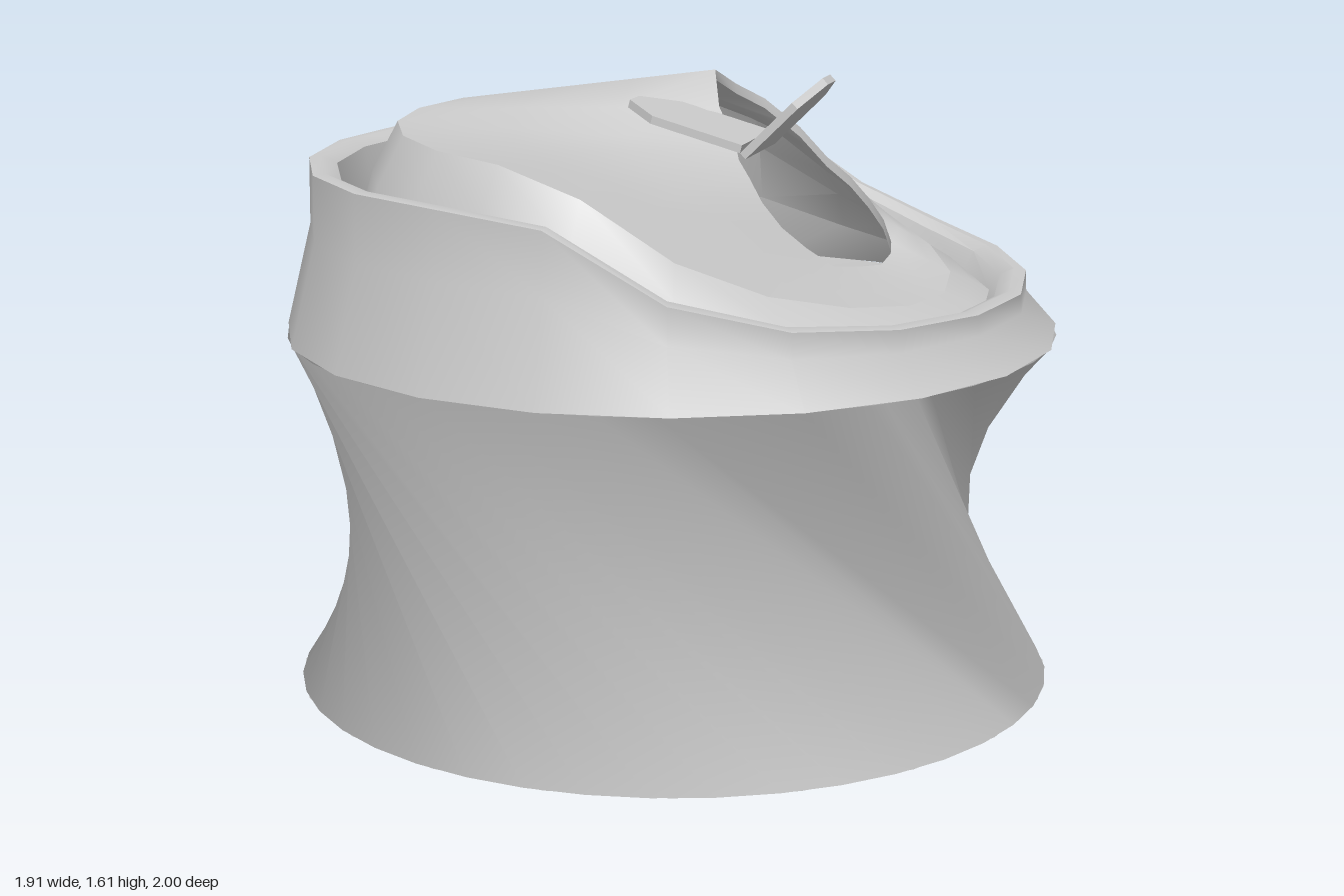
import * as THREE from 'three';
import { toCreasedNormals } from 'three/addons/utils/BufferGeometryUtils.js';

const TAU = Math.PI * 2;
const { degToRad, radToDeg } = THREE.MathUtils;

// Piecewise-linear lookup through [position, value] pairs
function ramp(points, x) {
  if (x <= points[0][0]) return points[0][1];
  for (let i = 1; i < points.length; i++) {
    const [x0, y0] = points[i - 1], [x1, y1] = points[i];
    if (x <= x1) return y0 + (y1 - y0) * (x - x0) / (x1 - x0);
  }
  return points[points.length - 1][1];
}

// Heights of the crushed rim and lid edge, both sagging toward +x
const rimHeight = x => ramp([[-0.02, 1.42], [0.2, 1.27], [0.4, 1.195], [0.6, 1.16], [0.88, 1.14]], x);
const lidHeight = x => ramp([[-0.65, 1.51], [-0.15, 1.49], [0, 1.45], [0.2, 1.31], [0.45, 1.2], [0.7, 1.13]], x);

// Ring of points: radius may be a number or a function of the index, height a function of x, z, index
function ring(cx, cz, radius, height, n = 20, turn = a => a) {
  return Array.from({ length: n }, (_, i) => {
    const a = turn(i / n * TAU);
    const r = typeof radius === 'function' ? radius(i) : radius;
    const x = cx + r * Math.sin(a), z = cz + r * Math.cos(a);
    return new THREE.Vector3(x, height(x, z, i), z);
  });
}

// Skin joining successive rings, listed from below outward and up
function loft(rings) {
  const pos = [], index = [], n = rings[0].length;
  rings.forEach(r => r.forEach(p => pos.push(p.x, p.y, p.z)));
  for (let j = 0; j < rings.length - 1; j++) {
    for (let i = 0; i < n; i++) {
      const k = (i + 1) % n;
      const a = j * n + i, b = j * n + k, c = b + n, d = a + n;
      index.push(a, b, d, b, c, d);
    }
  }
  const g = new THREE.BufferGeometry();
  g.setAttribute('position', new THREE.Float32BufferAttribute(pos, 3));
  g.setIndex(index);
  g.computeVertexNormals();
  return g;
}

export function createModel() {
  const group = new THREE.Group();
  const material = new THREE.MeshStandardMaterial({ color: 0xcccccc, side: THREE.DoubleSide });
  const add = (name, geometry) => {
    const mesh = new THREE.Mesh(geometry, material);
    mesh.name = name;
    group.add(mesh);
    return mesh;
  };

  // Wrung wall: each angle on the bottom ring leads to a lagging angle on the shoulder
  const wring = [[60, 0], [80, 18], [90, 44], [132, 56], [175, 97], [190, 120], [290, 222], [343, 285], [420, 360]];
  add('twistedWall', loft([
    ring(-0.01, -0.055, 0.945, () => 0.1, 40, a => a + degToRad(60)),
    ring(0.02, 0.055, 0.935, () => 1.01, 40, a => degToRad(ramp(wring, radToDeg(a) + 60))),
  ]));

  // Shoulder and neck up to the rim
  const neckHeight = x => 1.02 + (rimHeight(x) - 1.02) * 0.6;
  const rimOuter = ring(0.015, 0.06, 0.87, rimHeight);
  add('shoulder', loft([
    ring(0.02, 0.055, 0.94, () => 1.01),
    ring(0.015, 0.06, 0.872, neckHeight),
    rimOuter,
  ]));

  // Tilted foot ring around a shallow recess
  const footHeight = (x, z) => ramp([[-0.9, 0.025], [-0.75, 0.003], [-0.25, 0.01], [0, 0.032], [0.4, 0.058], [0.8, 0.065]], z);
  add('base', toCreasedNormals(loft([
    ring(0, -0.055, 0, () => 0.06),
    ring(0, -0.055, 0.66, (x, z) => footHeight(x, z) + 0.025),
    ring(0, -0.055, 0.84, footHeight),
    ring(-0.01, -0.055, 0.945, () => 0.1),
  ]), 0.4));

  // Rim lip, narrow groove and sloping skirt up to the lid edge
  const groove = x => 1.09 + (rimHeight(x) - 1.14) * 0.4;
  const skirt = x => groove(x) + (lidHeight(x) - groove(x)) * 0.6;
  const lidEdge = ring(0.03, 0.055, 0.67, lidHeight);
  add('rim', toCreasedNormals(loft([
    rimOuter,
    ring(0.015, 0.06, 0.84, x => rimHeight(x) + 0.003),
    ring(0.015, 0.055, 0.805, x => rimHeight(x) - 0.015),
    ring(0.02, 0.055, 0.775, groove),
    ring(0.025, 0.055, 0.73, skirt),
    lidEdge,
  ]), 0.6));

  // Lid pulled straight from its edge to the torn mouth, peaking behind the tab
  const radii = [0.19, 0.22, 0.23, 0.22, 0.21, 0.22, 0.29, 0.27, 0.17, 0.17];
  const heights = [1.25, 1.16, 1.15, 1.18, 1.27, 1.36, 1.5, 1.59, 1.43, 1.36];
  const between = (list, i) => (list[Math.floor(i / 2)] + list[Math.ceil(i / 2) % 10]) / 2;
  const mouth = ring(0.28, -0.2, i => between(radii, i), (x, z, i) => between(heights, i));
  add('lid', loft([0, 0.33, 0.67, 1].map(t => lidEdge.map((p, i) => p.clone().lerp(mouth[i], t)))));

  // Thin folded edge around the mouth
  add('mouthEdge', loft([
    mouth,
    mouth.map(p => new THREE.Vector3(p.x, p.y - 0.025, p.z)),
  ]));

  // Pull tab bent into two pointed plates meeting at the fold
  const tab = new THREE.Group();
  tab.name = 'pullTab';
  group.add(tab);
  const plate = (name, length, angle) => {
    const w = 0.125;
    const shape = new THREE.Shape([
      [0, -w], [length * 0.72, -w], [length, -0.035], [length, 0.035], [length * 0.72, w], [0, w],
    ].map(([x, y]) => new THREE.Vector2(x, y)));
    const g = new THREE.ExtrudeGeometry(shape, { depth: 0.02, bevelEnabled: false });
    g.rotateX(Math.PI / 2).rotateZ(angle);
    const mesh = add(name, g);
    mesh.position.set(0.195, 1.44, -0.06);
    tab.add(mesh);
  };
  plate('tabBase', 0.325, Math.PI - 0.26);
  plate('tabRaisedEnd', 0.25, 0.78);

  return group;
}
